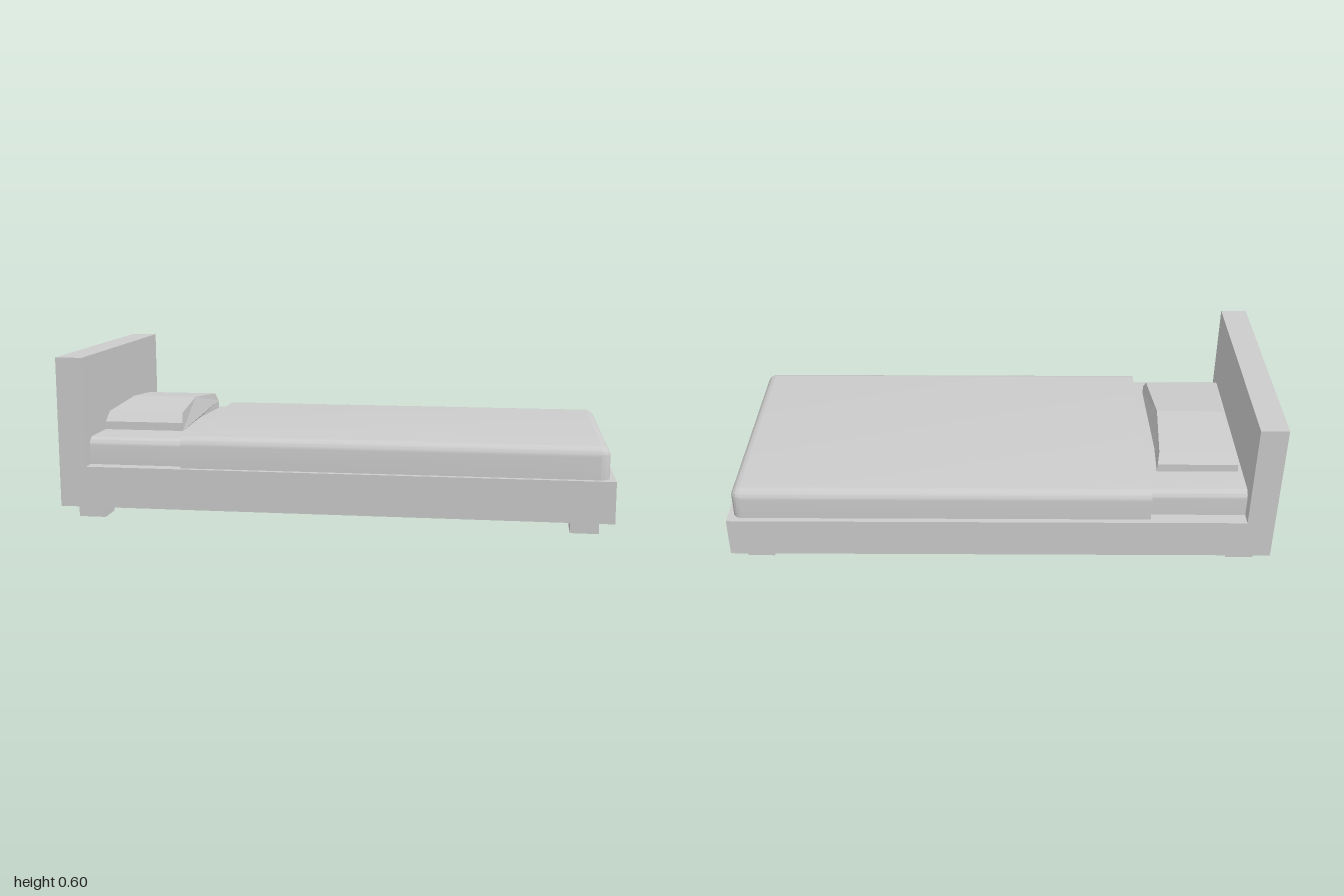
import * as THREE from 'three';
import { toCreasedNormals } from 'three/addons/utils/BufferGeometryUtils.js';
import { RoundedBoxGeometry } from 'three/addons/geometries/RoundedBoxGeometry.js';

const grey = new THREE.MeshStandardMaterial({ color: 0xcccccc });

export function createModel() {
  const bed = new THREE.Group();
  bed.name = 'bed';

  const add = (name, geometry) => {
    const mesh = new THREE.Mesh(geometry, grey);
    mesh.name = name;
    bed.add(mesh);
  };

  // Box given by its extents
  const box = (x0, x1, y0, y1, z0, z1) =>
    new THREE.BoxGeometry(x1 - x0, y1 - y0, z1 - z0)
      .translate((x0 + x1) / 2, (y0 + y1) / 2, (z0 + z1) / 2);

  // Soft slab: rounded box cut flat at its head end (x0) and underside (y0)
  const softSlab = (x0, x1, y0, y1, halfZ, radius) => {
    const extra = 0.1;
    const geometry = new RoundedBoxGeometry(x1 - x0 + extra, y1 - y0 + extra, halfZ * 2, 5, radius);
    geometry.translate((x0 - extra + x1) / 2, (y0 - extra + y1) / 2, 0);
    const p = geometry.attributes.position;
    for (let i = 0; i < p.count; i++) {
      p.setX(i, Math.max(p.getX(i), x0));
      p.setY(i, Math.max(p.getY(i), y0));
    }
    return toCreasedNormals(geometry, Math.PI / 5);
  };

  // Frame and headboard
  add('bedFrame', box(-1, 1, 0.05, 0.2, -0.45, 0.45));
  add('headboard', box(-1, -0.9, 0.2, 0.6, -0.45, 0.45));

  // Four block feet
  for (const x of [-0.9, 0.9]) {
    for (const z of [-0.35, 0.35]) {
      add('foot', box(x - 0.05, x + 0.05, 0, 0.05, z - 0.05, z + 0.05));
    }
  }

  // Bedding
  add('mattress', softSlab(-0.9, 0.95, 0.2, 0.3, 0.4, 0.03));
  add('blanket', softSlab(-0.55, 0.98, 0.2, 0.315, 0.43, 0.035));

  // Pillow: faceted side profile, narrowing with height and pinched mid-length
  const profile = new THREE.Shape([
    [-0.28, 0.31], [0, 0.312], [0.28, 0.31], [0.28, 0.34],
    [0.25, 0.375], [0, 0.397], [-0.25, 0.375], [-0.28, 0.34],
  ].map(([z, y]) => new THREE.Vector2(z, y)));
  const pillow = new THREE.ExtrudeGeometry(profile, { depth: 0.3, bevelEnabled: false });
  pillow.translate(0, 0, -0.15).rotateY(Math.PI / 2);
  const p = pillow.attributes.position;
  for (let i = 0; i < p.count; i++) {
    const rise = (p.getY(i) - 0.31) / 0.087;
    const pinch = 0.012 * (1 - Math.abs(p.getZ(i)) / 0.28);
    const half = 0.15 - 0.012 * rise * rise - pinch;
    p.setX(i, -0.73 + Math.sign(p.getX(i)) * half);
  }
  pillow.computeVertexNormals();
  add('pillow', pillow);

  return bed;
}
